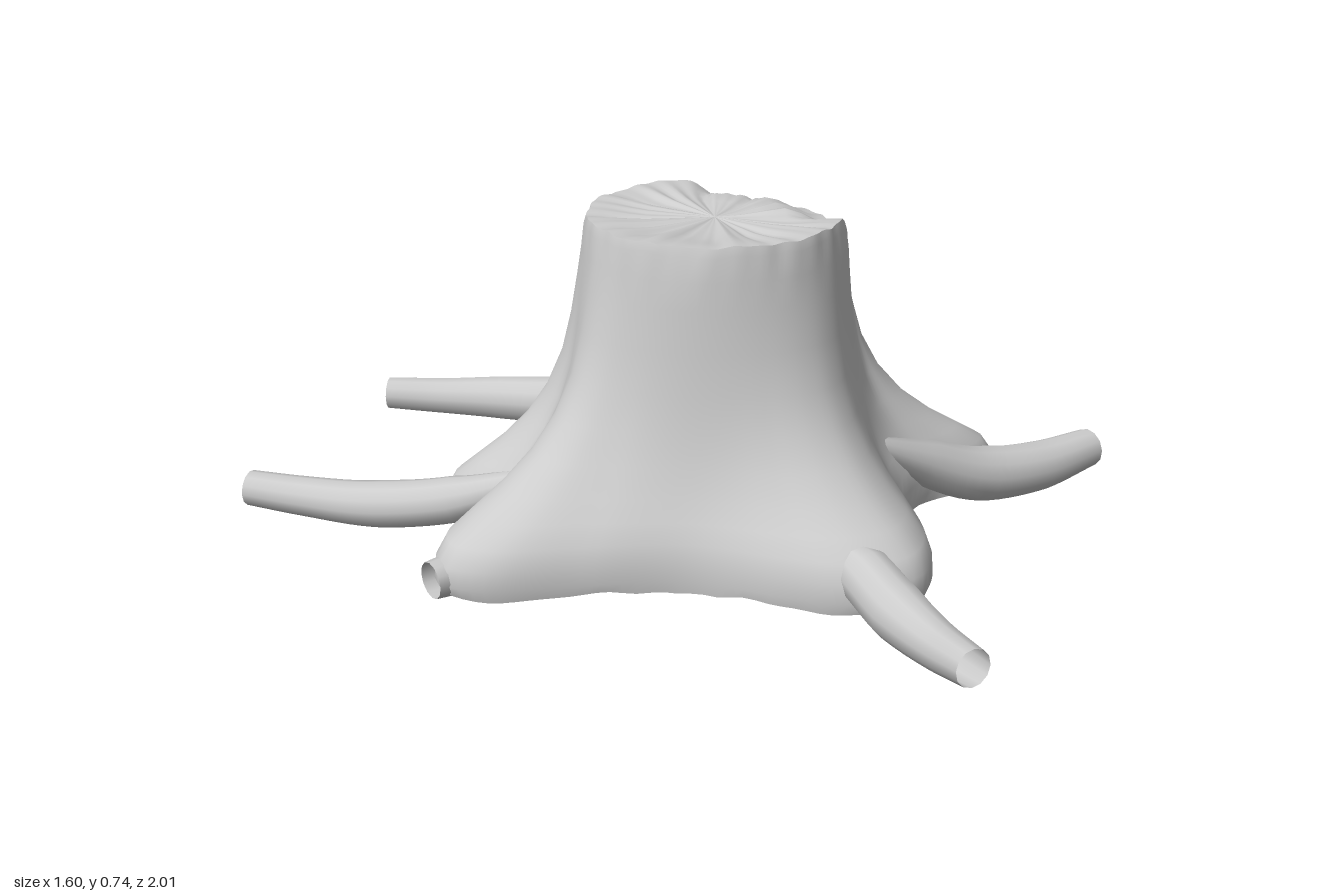
import * as THREE from 'three';

const CENTRE = { x: -0.08, z: 0.1 };
const SIDES = 144;

// Flared base outline as [x, z], running from +x towards +z
const OUTLINE = [
  [0.56, 0.33], [0.55, 0.39], [0.47, 0.415], [0.34, 0.39], [0.23, 0.41], [0.15, 0.45], [0.08, 0.56],
  [0, 0.66], [-0.1, 0.71], [-0.19, 0.68], [-0.25, 0.62], [-0.3, 0.53], [-0.39, 0.34], [-0.55, 0.2],
  [-0.72, 0.07], [-0.76, -0.02], [-0.71, -0.09], [-0.6, -0.13], [-0.51, -0.17], [-0.52, -0.25],
  [-0.5, -0.33], [-0.43, -0.36], [-0.31, -0.33], [-0.18, -0.31], [-0.08, -0.38], [0, -0.49],
  [0.1, -0.53], [0.16, -0.42], [0.18, -0.25], [0.27, -0.11], [0.34, 0.05], [0.48, 0.2],
];

// Trunk profile as [height, share of the flare, radius of the round core]
const PROFILE = [
  [0.035, 0.97, 0.285], [0.06, 1, 0.285], [0.1, 0.99, 0.285], [0.14, 0.92, 0.285], [0.18, 0.76, 0.285],
  [0.22, 0.6, 0.285], [0.28, 0.41, 0.285], [0.35, 0.26, 0.285], [0.43, 0.15, 0.285],
  [0.52, 0.08, 0.285], [0.61, 0.03, 0.285], [0.67, 0, 0.285],
];

// Rings of points joined into a smooth closed band, listed from bottom to top
function loft(rings) {
  const n = rings[0].length;
  const index = [];
  for (let j = 0; j < rings.length - 1; j++) {
    for (let i = 0; i < n; i++) {
      const k = (i + 1) % n;
      const a = j * n + i, b = j * n + k, c = a + n, d = b + n;
      index.push(a, c, b, b, c, d);
    }
  }
  const geometry = new THREE.BufferGeometry();
  geometry.setAttribute('position', new THREE.Float32BufferAttribute(rings.flat(2), 3));
  geometry.setIndex(index);
  geometry.computeVertexNormals();
  return geometry;
}

const smooth = THREE.MathUtils.smoothstep;
const ragged = (a) => 0.5 * Math.sin(9 * a + 1) + 0.3 * Math.sin(17 * a + 2.3) + 0.3 * Math.sin(29 * a);

// The cut is lower on the +x side
const chip = (a) => smooth(Math.cos(a), 0.55, 0.75);
const rimHeight = (a) => 0.742 - 0.048 * chip(a) + 0.004 * ragged(a);

// Root through points [x, y, z, radius], open at its end
function rootGeometry(points) {
  const path = new THREE.CatmullRomCurve3(points.map(([x, y, z]) => new THREE.Vector3(x, y, z)));
  const steps = 24, sides = 12;
  const geometry = new THREE.TubeGeometry(path, steps, 1, sides, false);
  const position = geometry.attributes.position;
  const v = new THREE.Vector3();
  for (let i = 0; i <= steps; i++) {
    const centre = path.getPointAt(i / steps);
    const u = (i / steps) * (points.length - 1);
    const k = Math.min(Math.floor(u), points.length - 2);
    const radius = THREE.MathUtils.lerp(points[k][3], points[k + 1][3], u - k);
    for (let j = 0; j <= sides; j++) {
      const id = i * (sides + 1) + j;
      v.fromBufferAttribute(position, id).sub(centre).multiplyScalar(radius).add(centre);
      position.setXYZ(id, v.x, v.y, v.z);
    }
  }
  return geometry;
}

export function createModel() {
  const group = new THREE.Group();
  const wood = new THREE.MeshStandardMaterial({ color: 0xcccccc, side: THREE.DoubleSide });
  wood.name = 'greyWood';
  const add = (name, geometry) => {
    const mesh = new THREE.Mesh(geometry, wood);
    mesh.name = name;
    group.add(mesh);
  };

  // Outline turned into directions and distances from the trunk centre
  const curve = new THREE.CatmullRomCurve3(OUTLINE.map(([x, z]) => new THREE.Vector3(x, 0, z)), true);
  const spokes = Array.from({ length: SIDES }, (_, i) => {
    const p = curve.getPointAt(i / SIDES);
    const dx = p.x - CENTRE.x, dz = p.z - CENTRE.z;
    return { angle: Math.atan2(dz, dx), reach: Math.hypot(dx, dz) };
  });
  const ring = (radius, height) => spokes.map((s) => {
    const r = radius(s);
    return [CENTRE.x + r * Math.cos(s.angle), height(s), CENTRE.z + r * Math.sin(s.angle)];
  });

  // Trunk with flared foot and slightly rounded rim
  const rimRadius = (s) => 0.272 + 0.004 * ragged(s.angle + 2);
  const rings = PROFILE.map(([y, flare, core]) => ring(
    (s) => core + (s.reach - core) * flare,
    (s) => y + (y < 0.05 ? 0.006 * ragged(s.angle) : 0),
  ));
  rings.push(ring((s) => rimRadius(s) + 0.006, (s) => rimHeight(s.angle) - 0.02));
  rings.push(ring(rimRadius, (s) => rimHeight(s.angle)));
  add('trunk', loft(rings));

  // Splintered cut face
  const cut = [1, 0.93, 0.86, 0.78, 0.68, 0.55, 0.38, 0.2, 0.001].map((share) => ring(
    (s) => rimRadius(s) * share,
    (s) => {
      const fade = smooth(share, 0.5, 1);
      const inner = 0.73 + 0.016 * share * ragged(s.angle * 1) + 0.01 * chip(s.angle) * smooth(share, 0.2, 0.6);
      return THREE.MathUtils.lerp(inner, rimHeight(s.angle), fade);
    },
  ));
  add('cutTop', loft(cut));

  // Creased underside
  const under = [0.001, 0.3, 0.65, 1].map((share) => ring(
    (s) => (0.285 + (s.reach - 0.285) * 0.97) * share,
    (s) => 0.05 - 0.015 * share + 0.006 * share * ragged(s.angle),
  ));
  add('underside', loft(under));

  // Roots spreading from the foot
  const roots = {
    leftRoot: [[0.16, 0.21, 0.35, 0.02], [0.29, 0.145, 0.385, 0.055], [0.43, 0.085, 0.425, 0.065],
      [0.61, 0.06, 0.465, 0.058], [0.795, 0.062, 0.488, 0.045]],
    frontRoot: [[-0.17, 0.14, 0.52, 0.03], [-0.185, 0.11, 0.63, 0.06], [-0.22, 0.08, 0.75, 0.062],
      [-0.25, 0.065, 0.87, 0.05], [-0.285, 0.07, 0.99, 0.04]],
    rightBackRoot: [[-0.44, 0.16, -0.12, 0.03], [-0.54, 0.11, -0.25, 0.052], [-0.63, 0.075, -0.42, 0.053],
      [-0.7, 0.065, -0.58, 0.046], [-0.765, 0.068, -0.705, 0.04]],
    backRoot: [[0.04, 0.14, -0.42, 0.035], [0.038, 0.1, -0.57, 0.06], [-0.01, 0.075, -0.74, 0.055],
      [-0.085, 0.065, -0.87, 0.046], [-0.17, 0.066, -0.98, 0.04]],
    rightStub: [[-0.55, 0.08, 0, 0.05], [-0.67, 0.07, -0.02, 0.05], [-0.77, 0.066, -0.035, 0.04]],
  };
  for (const [name, points] of Object.entries(roots)) add(name, rootGeometry(points));

  return group;
}
